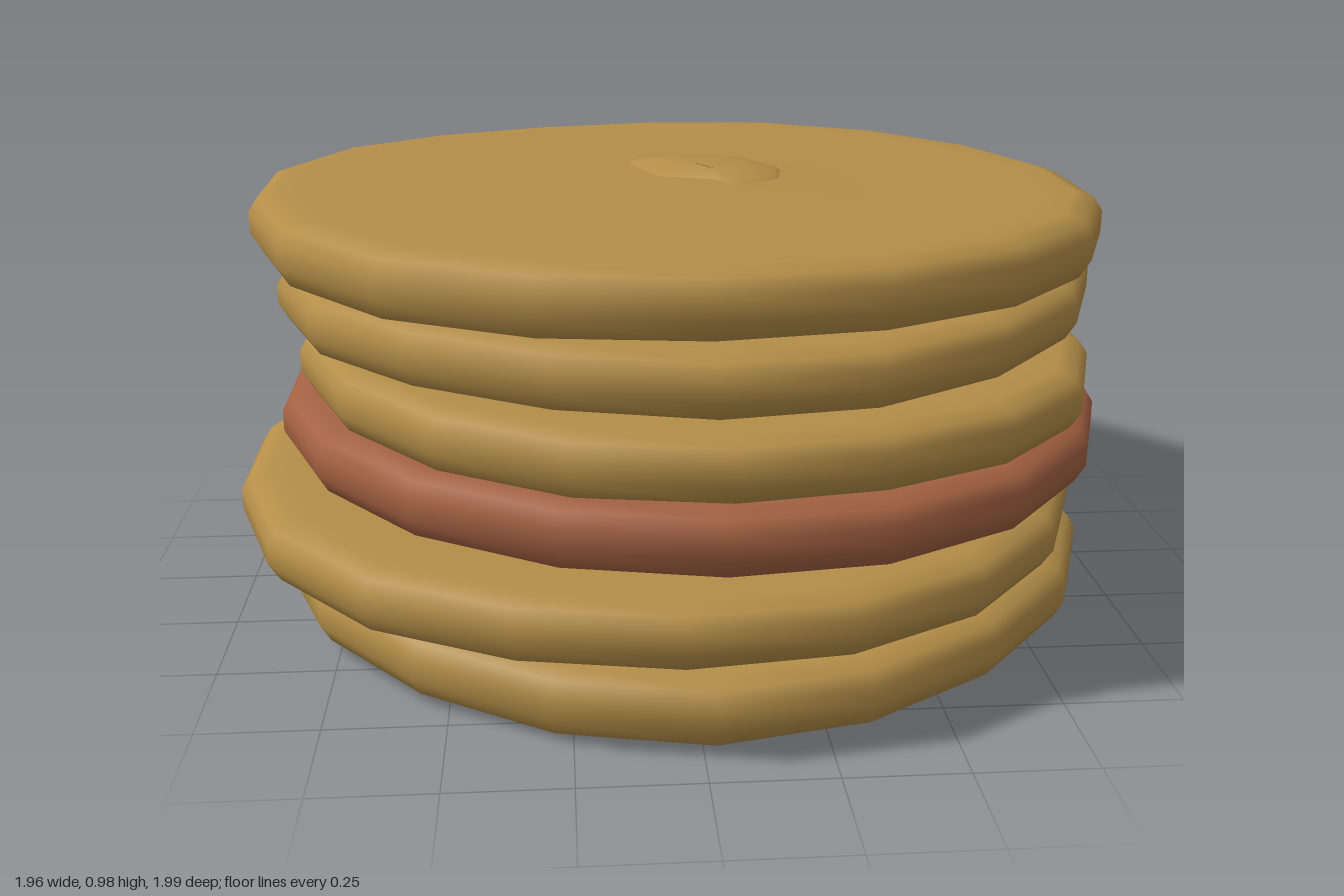
import * as THREE from 'three';
import { mergeVertices } from 'three/addons/utils/BufferGeometryUtils.js';

const SIDES = 18;
const golden = new THREE.MeshStandardMaterial({ name: 'goldenTan', color: 0xb48e48 });
const rust = new THREE.MeshStandardMaterial({ name: 'rustRed', color: 0xa46142 });

// Weld the vertices so that the whole surface shades smoothly
function smooth(geometry) {
  geometry.deleteAttribute('uv');
  geometry.deleteAttribute('normal');
  const welded = mergeVertices(geometry, 1e-4);
  welded.computeVertexNormals();
  return welded;
}

// A slightly wavy, tilted round layer; y is the height of its middle
function layer({ name, x, z, r, y, h, tiltX = 0, tiltZ = 0, seed, material }) {
  const t = h / 2;
  const profile = [
    [0, -t], [0.6, -t], [0.91, -t], [0.975, -t * 0.8], [1, -t * 0.25], [1, t * 0.4],
    [0.98, t * 0.8], [0.935, t], [0.86, t * 0.96], [0.6, t * 0.92], [0.23, t * 1.1], [0, t * 1.15],
  ].map(([a, b]) => new THREE.Vector2(a * r, b));
  const geometry = smooth(new THREE.LatheGeometry(profile, SIDES));
  const p = geometry.attributes.position;
  for (let i = 0; i < p.count; i++) {
    const px = p.getX(i), pz = p.getZ(i), py = p.getY(i);
    const angle = Math.atan2(pz, px), d = Math.hypot(px, pz) / r;
    const wave = 1 + 0.006 * Math.sin(angle * 5 + seed);
    const ripple = 0.006 * d * Math.sin(angle * 3 + seed * 2);
    p.setXYZ(i, px * wave, py + ripple + tiltX * px + tiltZ * pz, pz * wave);
  }
  geometry.computeVertexNormals();
  const mesh = new THREE.Mesh(geometry, material);
  mesh.name = name;
  mesh.position.set(x, y, z);
  return mesh;
}

// Small irregular lump on the top, as an outline rising to an inner ridge
function lump() {
  const outline = [[-0.1, -0.18], [-0.03, -0.27], [0.18, -0.22], [0.265, -0.08],
    [0.25, 0.03], [0.14, 0.14], [0.09, 0.06], [-0.04, 0.02]];
  const n = outline.length, cx = 0.07, cz = -0.08;
  const positions = [], index = [];
  [[1, 0.945], [0.9, 0.964], [0.5, 0.977]].forEach(([s, y]) => {
    outline.forEach(([x, z]) => positions.push(cx + (x - cx) * s, y, cz + (z - cz) * s));
  });
  positions.push(0.04, 0.982, -0.06);
  for (let i = 0; i < n; i++) {
    const j = (i + 1) % n;
    for (let k = 0; k < 2; k++) {
      const a = k * n + i, b = k * n + j;
      index.push(a, a + n, b, b, a + n, b + n);
    }
    index.push(2 * n + i, 3 * n, 2 * n + j);
  }
  const geometry = new THREE.BufferGeometry();
  geometry.setAttribute('position', new THREE.Float32BufferAttribute(positions, 3));
  geometry.setIndex(index);
  geometry.computeVertexNormals();
  const mesh = new THREE.Mesh(geometry, golden);
  mesh.name = 'topLump';
  return mesh;
}

export function createModel() {
  const model = new THREE.Group();
  model.name = 'layeredStack';
  const layers = [
    { name: 'bottomLayer', x: 0.025, z: -0.03, r: 0.935, y: 0.1, h: 0.145, tiltZ: -0.025 },
    { name: 'secondLayer', x: -0.04, z: 0.035, r: 0.955, y: 0.265, h: 0.135, tiltX: -0.012, tiltZ: 0.003 },
    { name: 'redLayer', x: 0.045, z: -0.045, r: 0.95, y: 0.413, h: 0.145, tiltX: -0.014, tiltZ: 0.013, material: rust },
    { name: 'fourthLayer', x: 0.055, z: 0.02, r: 0.895, y: 0.568, h: 0.135, tiltX: -0.02 },
    { name: 'fifthLayer', x: 0.03, z: -0.06, r: 0.925, y: 0.722, h: 0.135 },
    { name: 'topLayer', x: 0.012, z: -0.022, r: 0.957, y: 0.877, h: 0.145, tiltX: -0.008, tiltZ: 0.014 },
  ];
  layers.forEach((spec, i) => model.add(layer({ material: golden, seed: i * 1.7, ...spec })));
  model.add(lump());
  return model;
}
